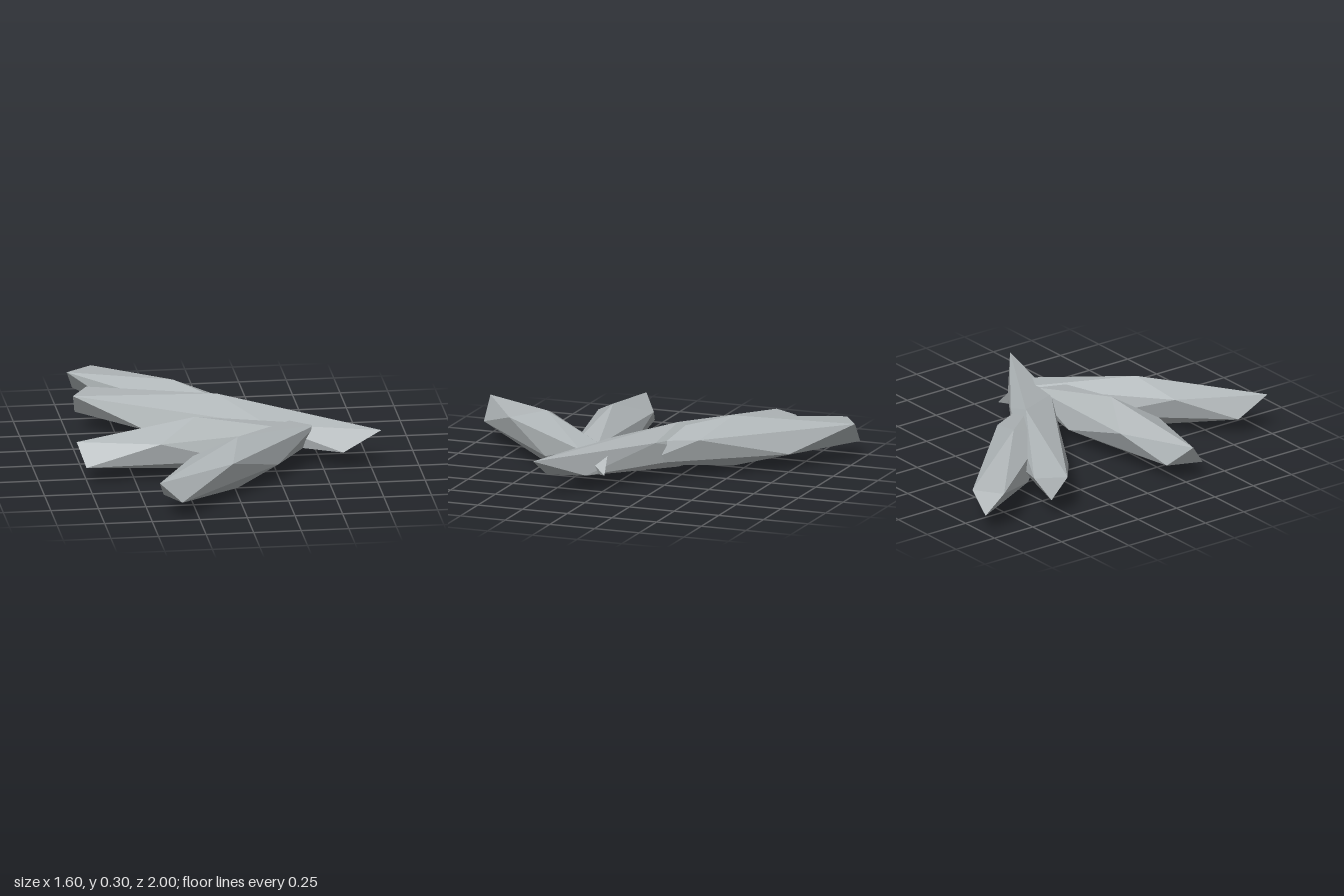
import * as THREE from 'three';

// One faceted shard: top and bottom points joined by two staggered rings of five.
// Rings are [x, z] pairs running from +x towards +z; lower[k] sits between upper[k] and upper[k + 1].
function shardGeometry({ centre, top, bottom, upper, lower }) {
  const upperY = 0.208, lowerY = 0.093;
  const t = [centre[0], top, centre[1]];
  const b = [centre[0], bottom, centre[1]];
  const u = upper.map(([x, z]) => [x, upperY, z]);
  const l = lower.map(([x, z]) => [x, lowerY, z]);
  const points = [];
  for (let k = 0; k < 5; k++) {
    const n = (k + 1) % 5;
    points.push(t, u[n], u[k]);
    points.push(u[k], u[n], l[k]);
    points.push(l[k], u[n], l[n]);
    points.push(b, l[k], l[n]);
  }
  const geometry = new THREE.BufferGeometry();
  geometry.setAttribute('position', new THREE.Float32BufferAttribute(points.flat(), 3));
  geometry.computeVertexNormals();
  return geometry;
}

const shards = [
  {
    name: 'frontShard', centre: [0.015, 0.5], top: 0.28, bottom: 0,
    upper: [[-0.46, 1.0], [-0.23, 0.57], [0.41, 0], [0.48, 0.13], [-0.04, 0.73]],
    lower: [[-0.42, 0.84], [0.07, 0.27], [0.52, -0.02], [0.24, 0.42], [-0.34, 0.99]],
  },
  {
    name: 'sideShard', centre: [-0.17, 0.2], top: 0.3, bottom: 0.02,
    upper: [[-0.8, 0.26], [-0.42, 0.07], [0.36, 0.08], [0.38, 0.21], [-0.37, 0.36]],
    lower: [[-0.69, 0.17], [0, 0.05], [0.46, 0.14], [0.03, 0.33], [-0.76, 0.35]],
  },
  {
    name: 'longShard', centre: [0, -0.23], top: 0.28, bottom: 0.04,
    upper: [[0.8, 0.27], [0.22, 0.1], [-0.72, -0.5], [-0.63, -0.65], [0.2, -0.18]],
    lower: [[0.6, 0.27], [-0.37, -0.23], [-0.7, -0.59], [-0.2, -0.44], [0.555, 0.07]],
  },
  {
    name: 'backShard', centre: [-0.2, -0.46], top: 0.29, bottom: 0.02,
    upper: [[0.27, 0.07], [-0.16, -0.22], [-0.7, -0.9], [-0.56, -1.0], [0.06, -0.37]],
    lower: [[0.1, 0.02], [-0.43, -0.54], [-0.66, -0.99], [-0.26, -0.75], [0.22, -0.1]],
  },
];

export function createModel() {
  const group = new THREE.Group();
  group.name = 'shardCluster';
  const stone = new THREE.MeshStandardMaterial({ color: 0xb0b6b8 });
  stone.name = 'paleGrey';
  stone.flatShading = true;
  for (const shard of shards) {
    const mesh = new THREE.Mesh(shardGeometry(shard), stone);
    mesh.name = shard.name;
    group.add(mesh);
  }
  return group;
}
